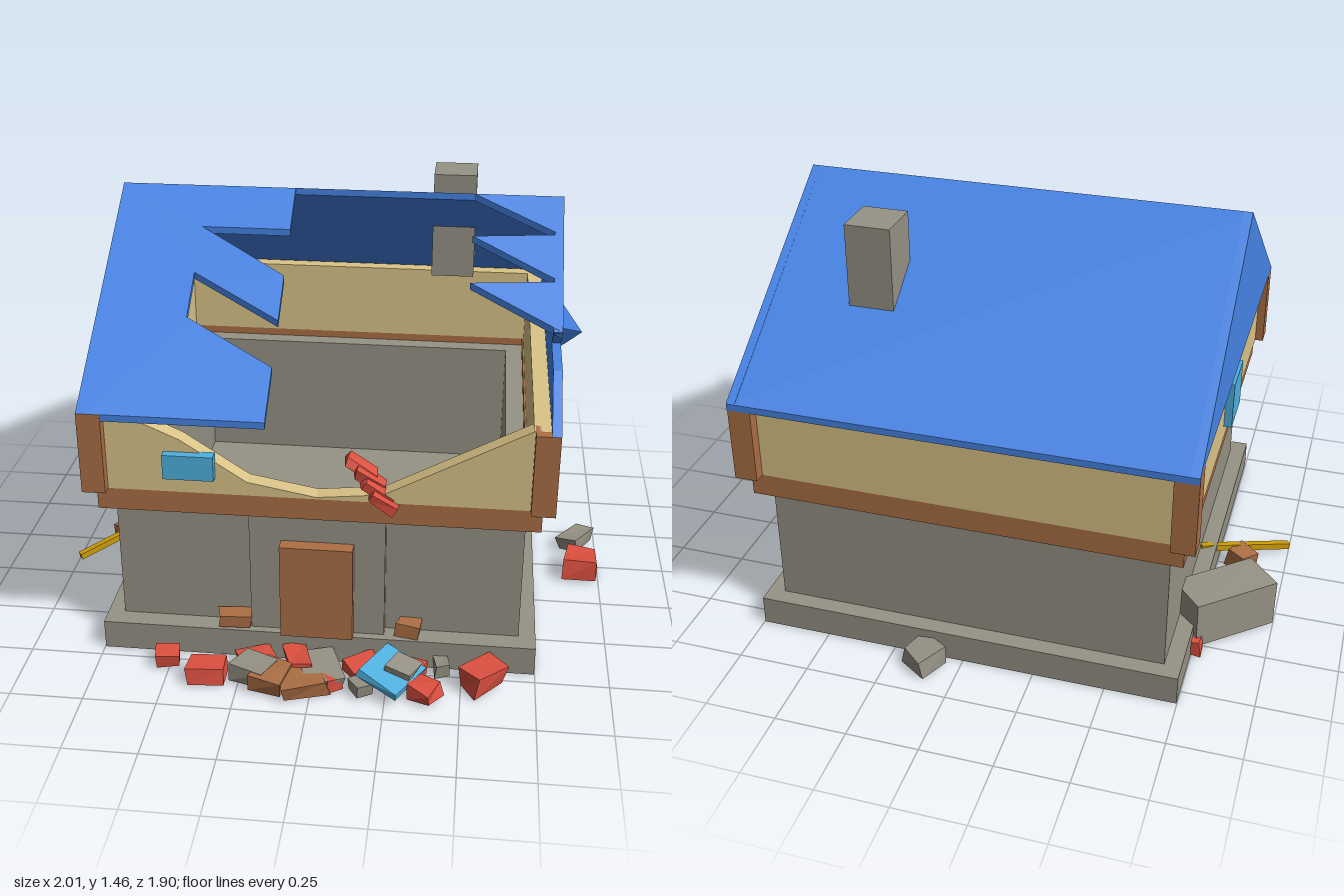
import * as THREE from 'three';

const mat = (name, color) => {
  const m = new THREE.MeshStandardMaterial({ color });
  m.name = name;
  return m;
};

export function createModel() {
  const root = new THREE.Group();
  root.name = 'ruinedHouse';
  const stone = mat('stone', 0x969285), plaster = mat('plaster', 0xdbc488), wood = mat('wood', 0xac6f44);
  const blue = mat('roofBlue', 0x4684e6), glass = mat('windowBlue', 0x4fb0de);
  const red = mat('brickRed', 0xdc5040), gold = mat('poleYellow', 0xcb9c08);
  blue.side = THREE.DoubleSide;

  const add = (name, geo, material) => {
    const m = new THREE.Mesh(geo, material);
    m.name = name;
    root.add(m);
    return m;
  };
  // box given by its limits
  const box = (name, material, x0, x1, y0, y1, z0, z1) => {
    const m = add(name, new THREE.BoxGeometry(x1 - x0, y1 - y0, z1 - z0), material);
    m.position.set((x0 + x1) / 2, (y0 + y1) / 2, (z0 + z1) / 2);
    return m;
  };
  const extrude = (shape, depth) => new THREE.ExtrudeGeometry(shape, { depth, bevelEnabled: false });
  const poly = (pts) => new THREE.Shape(pts.map(([a, b]) => new THREE.Vector2(a, b)));
  const rect = (x, z0, z1) => [[-x, -z1], [x, -z1], [x, -z0], [-x, -z0]];
  // hollow rectangular course of wall
  const ring = (name, material, x, z0, z1, t, y0, y1) => {
    const s = poly(rect(x, z0, z1));
    s.holes.push(poly(rect(x - t, z0 + t, z1 - t)));
    add(name, extrude(s, y1 - y0).rotateX(-Math.PI / 2).translate(0, y0, 0), material);
  };

  // Ground floor: thin foundation skirt, open below, under the floor plate
  ring('foundationSkirt', stone, 0.748, -0.81, 0.705, 0.005, 0, 0.1);
  box('floor', stone, -0.748, 0.748, 0.1, 0.105, -0.81, 0.705);
  ring('lowerWalls', stone, 0.69, -0.75, 0.635, 0.068, 0.105, 0.6);
  box('porch', stone, -0.23, 0.23, 0.105, 0.55, 0.63, 0.677);
  box('door', wood, -0.122, 0.125, 0.108, 0.46, 0.67, 0.725);
  ring('timberBand', wood, 0.74, -0.8, 0.682, 0.052, 0.55, 0.63);

  // Upper floor
  for (const s of [-1, 1]) {
    const lo = s < 0 ? -0.75 : 0.695, hi = s < 0 ? -0.695 : 0.75;
    box('sideWall', plaster, lo, hi, 0.63, 0.92, -0.8, 0.685);
    box('sideWindow', glass, s < 0 ? -0.778 : 0.74, s < 0 ? -0.74 : 0.778, 0.69, 0.86, -0.15, 0.035);
    for (const [z0, z1] of [[-0.84, -0.76], [0.645, 0.722]])
      box('cornerPost', wood, s < 0 ? -0.78 : 0.7, s < 0 ? -0.7 : 0.78, 0.63, 0.92, z0, z1);
  }
  box('backWall', plaster, -0.7, 0.7, 0.63, 0.92, -0.8, -0.745);
  const broken = poly([[-0.7, 0.63], [0.7, 0.63], [0.7, 0.92], [0.22, 0.66], [0, 0.637],
    [-0.23, 0.68], [-0.45, 0.825], [-0.62, 0.9], [-0.7, 0.92]]);
  add('brokenFrontWall', extrude(broken, 0.06).translate(0, 0, 0.625), plaster);
  box('frontWindow', glass, -0.505, -0.335, 0.692, 0.78, 0.675, 0.715);

  // Roof sheets: flat outlines in (x, z) dropped onto the slopes
  const ridgeZ = -0.06, slope = 0.54 / 0.78, T = 0.024;
  const roofSheet = (name, pts) => {
    const g = extrude(poly(pts.map(([x, z]) => [x, -z])), T).rotateX(-Math.PI / 2);
    const p = g.attributes.position;
    for (let i = 0; i < p.count; i++)
      p.setY(i, p.getY(i) + 1.46 - T - Math.abs(p.getZ(i) - ridgeZ) * slope);
    g.computeVertexNormals();
    add(name, g, blue);
  };
  roofSheet('backRoof', [[-0.78, -0.843], [0.78, -0.843], [0.78, ridgeZ], [-0.78, ridgeZ]]);
  roofSheet('frontRoofTorn', [[-0.78, ridgeZ], [-0.16, ridgeZ], [-0.16, 0.09], [-0.47, 0.09], [-0.16, 0.25],
    [-0.16, 0.4], [-0.47, 0.25], [-0.47, 0.4], [-0.16, 0.55], [-0.16, 0.72], [-0.78, 0.72]]);
  roofSheet('frontRoofTeeth', [[0.47, ridgeZ], [0.78, ridgeZ], [0.78, 0.4], [0.47, 0.25],
    [0.77, 0.235], [0.47, 0.09], [0.77, 0.075]]);

  // Gables, outlines in (z, y)
  const gable = (name, x, pts) =>
    add(name, extrude(poly(pts.map(([z, y]) => [-z, y])), 0.03).rotateY(Math.PI / 2).translate(x, 0, 0), blue);
  gable('rightGable', -0.78, [[0.72, 0.92], [ridgeZ, 1.46], [-0.843, 0.92]]);
  gable('tornLeftGable', 0.75, [[0.72, 0.92], [0.52, 1.058], [0.32, 1.07], [0.4, 1.141],
    [ridgeZ, 1.46], [-0.843, 0.92]]);

  // Bent flap of roofing hanging off the torn gable
  const A = [0.781, 1.14, 0.1], B = [0.783, 1.03, 0.255], C = [0.84, 1.15, 0.41], E = [0.765, 1.15, 0.38];
  const flap = new THREE.BufferGeometry();
  flap.setAttribute('position', new THREE.Float32BufferAttribute([A, C, B, A, E, C].flat(), 3));
  flap.computeVertexNormals();
  add('bentFlap', flap, blue);

  box('chimney', stone, 0.318, 0.476, 1.05, 1.445, -0.5, -0.334);

  // Rubble: boxes with each corner pushed by a seeded amount
  let seed = 7;
  const rnd = () => (seed = (seed * 16807) % 2147483647) / 2147483647 - 0.5;
  const chunk = (name, material, x, y, z, w, h, d, yaw = 0, roll = 0, rough = 0.22) => {
    const g = new THREE.BoxGeometry(w, h, d).toNonIndexed(), p = g.attributes.position;
    const push = Array.from({ length: 8 }, () => [rnd() * w * rough, rnd() * h * rough, rnd() * d * rough]);
    for (let i = 0; i < p.count; i++) {
      const k = push[(p.getX(i) > 0) + 2 * (p.getY(i) > 0) + 4 * (p.getZ(i) > 0)];
      p.setXYZ(i, p.getX(i) + k[0], Math.max(p.getY(i) + k[1], -y), p.getZ(i) + k[2]);
    }
    g.computeVertexNormals();
    const m = add(name, g, material);
    m.position.set(x, y, z);
    m.rotation.set(0, yaw, roll);
  };
  // x, z, width, height, depth, yaw
  const bricks = [[-0.51, 0.775, 0.08, 0.05, 0.07, 0.1], [-0.355, 0.84, 0.12, 0.06, 0.09, 0],
    [-0.2, 0.77, 0.13, 0.05, 0.1, 0.4], [0.57, 0.79, 0.13, 0.085, 0.1, 0.8], [0.38, 0.875, 0.09, 0.05, 0.08, -0.5],
    [0.935, 0.05, 0.11, 0.075, 0.13, -0.1], [-0.06, 0.76, 0.08, 0.06, 0.13, 0.3], [0.05, 0.8, 0.06, 0.05, 0.16, 0.4],
    [0.17, 0.77, 0.1, 0.05, 0.1, 0.6], [0.33, 0.78, 0.08, 0.05, 0.12, -0.4], [-0.755, -0.53, 0.05, 0.06, 0.06, 0]];
  const stones = [[-0.2, 0.82, 0.12, 0.06, 0.11, -0.4], [0.02, 0.8, 0.13, 0.05, 0.17, 0.3],
    [0.17, 0.87, 0.07, 0.05, 0.07, 0.5], [0.43, 0.73, 0.05, 0.05, 0.07, 0.2], [0.92, -0.15, 0.07, 0.055, 0.13, -0.6],
    [0.125, -0.86, 0.11, 0.065, 0.1, -0.6]];
  const timbers = [[-0.02, 0.87, 0.15, 0.05, 0.12, 0.3], [-0.13, 0.86, 0.11, 0.06, 0.12, -0.3],
    [-0.84, -0.01, 0.08, 0.07, 0.08, -0.6]];
  for (const [name, material, list] of [['brickRubble', red, bricks], ['stoneRubble', stone, stones],
    ['woodRubble', wood, timbers]])
    for (const [x, z, w, h, d, yaw] of list) chunk(name, material, x, h / 2 + 0.006, z, w, h, d, yaw);
  chunk('ledgeWood', wood, -0.29, 0.132, 0.67, 0.12, 0.045, 0.06, 0.1);
  chunk('ledgeWood', wood, 0.315, 0.132, 0.66, 0.08, 0.045, 0.06, -0.2);
  chunk('fallenPane', glass, 0.265, 0.064, 0.825, 0.16, 0.028, 0.18, -0.5, -0.25, 0.05);
  chunk('stoneOnPane', stone, 0.3, 0.078, 0.815, 0.09, 0.03, 0.09, -0.4, -0.2);
  chunk('fallenBlock', stone, -0.825, 0.102, -0.365, 0.34, 0.175, 0.165, 0.78, 0.06, 0.04);

  // Red shards caught in the broken wall
  for (let i = 0; i < 4; i++)
    chunk('wallShard', red, 0.14 + i * 0.028, 0.715 - i * 0.026, 0.6 + i * 0.03, 0.105, 0.032, 0.06, 0.05, -0.6, 0.2);

  // Leaning pole
  const a = new THREE.Vector3(-0.995, 0.016, 0.16), b = new THREE.Vector3(-0.69, 0.105, -0.07);
  const pole = add('pole', new THREE.BoxGeometry(0.024, 0.024, a.distanceTo(b)), gold);
  pole.position.copy(a).add(b).multiplyScalar(0.5);
  pole.lookAt(b);

  return root;
}
